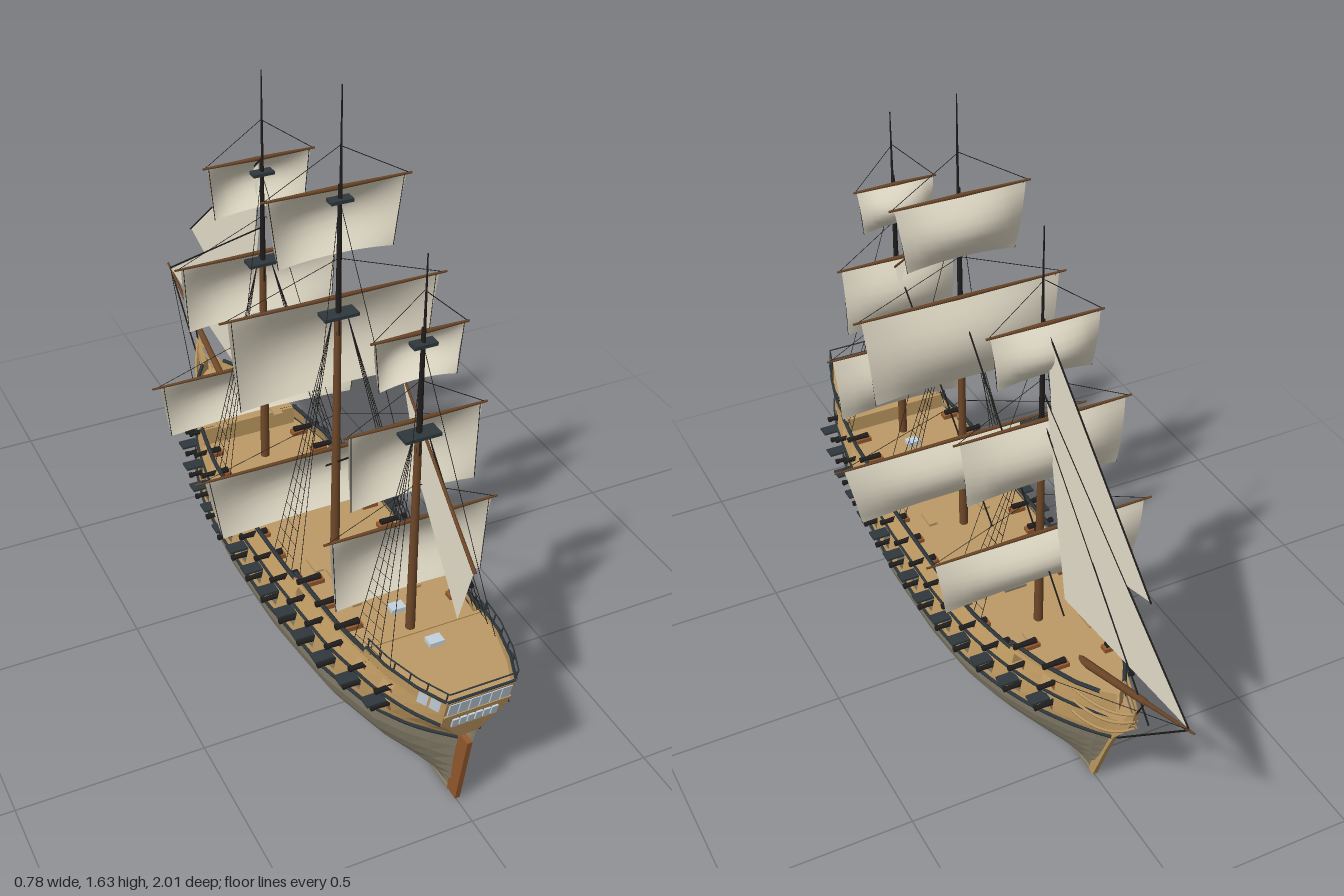
import * as THREE from 'three';
import { mergeGeometries } from 'three/addons/utils/BufferGeometryUtils.js';

const mat = (name, color, side = THREE.FrontSide) => {
  const m = new THREE.MeshStandardMaterial({ color, side });
  m.name = name;
  return m;
};
const V = (x, y, z) => new THREE.Vector3(x, y, z);
const lerp = THREE.MathUtils.lerp;

// ---- hull form -------------------------------------------------------------
const ST = [0.98, 0.9, 0.8, 0.6, 0.3, 0, -0.2, -0.35, -0.48, -0.57, -0.63, -0.66];
const WALE = [0.025, 0.1, 0.155, 0.2, 0.222, 0.222, 0.207, 0.172, 0.122, 0.072, 0.03, 0.004];
const MID = [0.088, 0.13, 0.162, 0.195, 0.206, 0.206, 0.192, 0.162, 0.118, 0.075, 0.034, 0.004];
const TOP = [0.09, 0.125, 0.152, 0.176, 0.184, 0.184, 0.173, 0.148, 0.11, 0.072, 0.034, 0.004];

function table(w, z) {
  let i = 0;
  while (i < ST.length - 2 && z < ST[i + 1]) i++;
  return lerp(w[i], w[i + 1], THREE.MathUtils.clamp((ST[i] - z) / (ST[i] - ST[i + 1]), 0, 1));
}
const waleY = z => 0.205 + (z > 0 ? 0.05 : 0.04) * z * z;
// raked stern and stem: the true z depends on height
const rake = (z, y) => lerp(0.885 + 0.27 * y, Math.max(-0.665, -0.565 - 0.4 * y), (0.98 - z) / 1.64);

// point on the topsides, d above the lower wale
function side(z, d, s = 1, out = 0) {
  const y = waleY(z) + d;
  const w = d < 0.08 ? lerp(table(WALE, z), table(MID, z), d / 0.08)
    : lerp(table(MID, z), table(TOP, z), Math.min(1, (d - 0.08) / 0.055));
  return V(s * (w + out), y, rake(z, y));
}
// point below the wale, a from 0 (keel) to 1
function bottom(z, a, s) {
  const t = a * Math.PI / 2, y = 0.008 + (waleY(z) - 0.008) * (1 - Math.cos(t));
  const p = 1 + 1.5 * Math.pow(Math.abs(z - 0.15) / 0.83, 3);
  return V(s * table(WALE, z) * Math.pow(Math.sin(t), p), y, rake(z, y));
}

// flat-shaded geometry from quads [a, b, c, d], counter-clockwise from the front
function quads(list) {
  const pos = [];
  for (const [a, b, c, d] of list) for (const v of [a, b, c, a, c, d]) pos.push(v.x, v.y, v.z);
  const g = new THREE.BufferGeometry();
  g.setAttribute('position', new THREE.Float32BufferAttribute(pos, 3));
  g.computeVertexNormals();
  return g;
}
function rod(a, b, r0, r1 = r0, n = 6) {
  const g = new THREE.CylinderGeometry(r1, r0, a.distanceTo(b), n);
  g.applyQuaternion(new THREE.Quaternion().setFromUnitVectors(V(0, 1, 0), b.clone().sub(a).normalize()));
  const m = a.clone().add(b).multiplyScalar(0.5);
  return g.translate(m.x, m.y, m.z);
}
const box = (w, h, d, x, y, z) => new THREE.BoxGeometry(w, h, d).translate(x, y, z);
// flat plate drawn in the z-y plane
function plate(pts, t) {
  const sh = new THREE.Shape(pts.map(([z, y]) => new THREE.Vector2(-z, y)));
  return new THREE.ExtrudeGeometry(sh, { depth: t, bevelEnabled: false }).translate(0, 0, -t / 2).rotateY(Math.PI / 2);
}

export function createModel() {
  const ship = new THREE.Group();
  const M = {
    hull: mat('bottom grey', 0x89826d, THREE.DoubleSide),
    tan: mat('topside tan', 0xc09b62, THREE.DoubleSide),
    deck: mat('deck planks', 0xbd9a67, THREE.DoubleSide),
    slate: mat('dark slate', 0x2f383d),
    black: mat('iron and rope', 0x201e1d),
    sail: mat('canvas', 0xe5deca, THREE.DoubleSide),
    mast: mat('mast brown', 0x6e4829),
    glass: mat('window glass', 0xc4d2de, THREE.DoubleSide),
    rust: mat('rudder brown', 0x94592f),
  };
  const add = (name, geos, material) => {
    const flat = geos.map(g => {
      const n = g.index ? g.toNonIndexed() : g;
      n.deleteAttribute('uv');
      return n;
    });
    const mesh = new THREE.Mesh(mergeGeometries(flat), material);
    mesh.name = name;
    ship.add(mesh);
  };

  // columns along the hull, with an opening at each gun port
  const ports = Array.from({ length: 14 }, (_, i) => 0.82 - 0.101 * i);
  const cols = [0.98, 0.93, 0.88];
  for (const z of ports) cols.push(z + 0.02, z - 0.02);
  cols.push(-0.55, -0.59, -0.63, -0.66);
  const isPort = k => k > 2 && k < 31 && (k - 3) % 2 === 0;
  const rows = [0, 0.02, 0.065, 0.08, 0.092, 0.125, 0.135, 0.157, 0.172];

  const lower = [], upper = [], transom = [];
  const panel = (list, f, z0, z1, a, b) => {
    list.push([f(z0, a, 1), f(z1, a, 1), f(z1, b, 1), f(z0, b, 1)]);
    list.push([f(z1, a, -1), f(z0, a, -1), f(z0, b, -1), f(z1, b, -1)]);
  };
  for (let k = 0; k < cols.length - 1; k++) {
    const z0 = cols[k], z1 = cols[k + 1], m = (z0 + z1) / 2;
    for (let j = 0; j < 8; j++) {
      panel(lower, bottom, z0, z1, j / 8, (j + 1) / 8);
      const hole = isPort(k) && (j === 1 || j === 4);
      const above = (j === 6 && m < 0.37 && m > -0.36) || (j === 7 && m < 0.72);
      if (!hole && !above) panel(upper, side, z0, z1, rows[j], rows[j + 1]);
    }
  }
  for (let j = 0; j < 8; j++) {
    const p = (s, d) => side(0.98, d, s);
    transom.push([p(-1, rows[j]), p(1, rows[j]), p(1, rows[j + 1]), p(-1, rows[j + 1])]);
  }
  add('lowerHull', [quads(lower)], M.hull);
  add('topsides', [quads(upper)], M.tan);
  add('transom', [quads(transom)], M.tan);
  add('keel', [box(0.01, 0.01, 1.44, 0, 0.005, 0.165)], M.hull);

  // wales and rails following the sheer
  const strake = (d, z0, z1, r, s) => {
    const pts = Array.from({ length: 25 }, (_, i) => side(lerp(z0, z1, i / 24), d, s, 0.001));
    return new THREE.TubeGeometry(new THREE.CatmullRomCurve3(pts), 48, r, 5);
  };
  const wales = [], rails = [];
  for (const s of [1, -1]) {
    wales.push(strake(0, 0.98, -0.66, 0.006, s), strake(0.08, 0.98, -0.66, 0.005, s));
    rails.push(strake(0.135, 0.37, -0.36, 0.006, s), strake(0.157, 0.72, 0.37, 0.006, s));
    rails.push(strake(0.157, -0.36, -0.63, 0.006, s), strake(0.172, 0.98, 0.72, 0.004, s));
    rails.push(strake(0.205, 0.98, 0.72, 0.002, s));
    for (let i = 0; i < 6; i++) {
      const z = 0.975 - 0.05 * i;
      rails.push(rod(side(z, 0.172, s), side(z, 0.205, s), 0.002));
    }
  }
  rails.push(rod(side(0.98, 0.205, 1), side(0.98, 0.205, -1), 0.002), rod(side(0.98, 0.172, 1), side(0.98, 0.172, -1), 0.004));
  add('wales', wales, M.slate);
  add('rails', rails, M.slate);

  // decks and the bulkheads at their steps
  const deck = (z0, z1, y) => {
    const q = [];
    for (let i = 0; i < 16; i++) {
      const a = lerp(z0, z1, i / 16), b = lerp(z0, z1, (i + 1) / 16);
      const p = (z, s) => side(z, y - waleY(z), s, -0.002);
      q.push([p(a, -1), p(a, 1), p(b, 1), p(b, -1)]);
    }
    return quads(q);
  };
  add('decks', [deck(0.98, -0.65, 0.29), deck(0.98, 0.37, 0.345), deck(0.98, 0.72, 0.393), deck(-0.36, -0.65, 0.345)], M.deck);
  const bulkhead = (z, y0, y1) => box(2 * table(TOP, z), y1 - y0, 0.008, 0, (y0 + y1) / 2, z);
  add('bulkheads', [bulkhead(0.37, 0.29, 0.344), bulkhead(0.72, 0.344, 0.392), bulkhead(-0.36, 0.29, 0.344)], M.tan);
  const hatch = [];
  for (const s of [1, -1]) {
    hatch.push(box(0.075, 0.012, 0.06, s * 0.075, 0.296, -0.065));
    for (const [z, y] of [[0.4, 0.345], [0.5, 0.345], [0.28, 0.29], [-0.36, 0.345]])
      hatch.push(box(0.025, 0.008, 0.06, s * 0.085, y + 0.004, z));
  }
  add('hatches', hatch, M.deck);
  add('waistGrating', [box(0.065, 0.008, 0.085, 0, 0.294, -0.065)], M.hull);
  add('skylights', [0.58, 0.775].map(z => box(0.04, 0.012, 0.03, 0, z > 0.7 ? 0.399 : 0.351, z)), M.glass);

  // guns, carriages and port lids
  const guns = [], lids = [], carriages = [];
  const gun = (p, s, inner, outer) => {
    guns.push(rod(V(p.x - s * inner, p.y, p.z), V(p.x + s * outer, p.y, p.z), 0.009, 0.006, 8));
    guns.push(rod(V(p.x + s * (outer - 0.005), p.y, p.z), V(p.x + s * (outer + 0.004), p.y, p.z), 0.008, 0.008, 8));
    carriages.push(box(0.045, 0.012, 0.024, p.x - s * (inner - 0.015), p.y - 0.011, p.z));
  };
  for (const z of ports) for (const s of [1, -1]) {
    gun(side(z, 0.033, s), s, 0.05, 0.03);
    gun(side(z, 0.1, s), s, 0.05, 0.025);
    const p = side(z, 0.067, s);
    lids.push(box(0.052, 0.006, 0.036, p.x + s * 0.026, p.y, p.z));
    carriages.push(box(0.045, 0.003, 0.03, p.x + s * 0.024, p.y - 0.004, p.z));
    // light guns on the raised decks
    if ((z > 0.38 && z < 0.7) || z < -0.37) {
      const q = side(z, 0.157, s);
      gun(V(q.x, q.y + 0.008, q.z), s, 0.045, 0.015);
    }
  }
  add('cannons', guns, M.black);
  add('portLids', lids, M.slate);
  add('gunCarriages', carriages, M.rust);

  // stern and quarter windows
  const panes = [], frames = [];
  const pane = (w, h, x, y) => new THREE.BoxGeometry(w, h, 0.006).rotateX(0.264).translate(x, y, 0.8865 + 0.27 * y);
  for (let i = 0; i < 6; i++) panes.push(pane(0.025, 0.044, (i - 2.5) * 0.028, 0.393));
  for (let i = 0; i < 6; i++) panes.push(pane(0.017, 0.03, (i - 2.5) * 0.021, 0.329));
  for (const y of [0.365, 0.421]) frames.push(pane(0.178, 0.006, 0, y));
  for (const s of [1, -1]) for (const z of [0.968, 0.936])
    panes.push(quads([[side(z, 0.125, s, 0.003), side(z - 0.026, 0.125, s, 0.003), side(z - 0.026, 0.165, s, 0.003), side(z, 0.165, s, 0.003)]]));
  add('sternWindows', panes, M.glass);
  add('sternMouldings', frames, M.tan);
  add('rudder', [plate([[0.965, 0.23], [0.915, 0.23], [0.885, 0.012], [0.925, 0.008]], 0.014)], M.rust);

  // stem, beakhead and head rails
  add('stem', [plate([[-0.55, 0.006], [-0.572, 0.006], [-0.625, 0.14], [-0.665, 0.23], [-0.71, 0.285], [-0.745, 0.35],
    [-0.757, 0.4], [-0.735, 0.37], [-0.69, 0.31], [-0.62, 0.28]], 0.014)], M.tan);
  add('beakGrating', [quads([[V(-0.065, 0.3, -0.58), V(0.065, 0.3, -0.58), V(0.004, 0.335, -0.74), V(-0.004, 0.335, -0.74)]])], M.deck);
  const head = [];
  for (const s of [1, -1]) for (const y of [0.27, 0.31, 0.35]) {
    const c = new THREE.QuadraticBezierCurve3(V(s * 0.075, y, -0.57), V(s * 0.045, y - 0.015, -0.68), V(s * 0.004, y * 0.6 + 0.175, -0.75));
    head.push(new THREE.TubeGeometry(c, 10, 0.004, 5));
  }
  add('headRails', head, M.tan);
  add('bowsprit', [rod(V(0, 0.33, -0.46), V(0, 0.46, -0.79), 0.012, 0.009, 8), rod(V(0, 0.45, -0.765), V(0, 0.545, -0.999), 0.007, 0.003)], M.mast);

  // masts: sails are [yard height, yard half, foot height, foot half]
  const masts = [
    { name: 'mizzen', z: 0.653, top: 1.405, sails: [[0.67, 0.235, 0.455, 0.2], [0.96, 0.187, 0.745, 0.165], [1.195, 0.125, 1.06, 0.1]], tops: [0.93, 1.175] },
    { name: 'main', z: 0.225, top: 1.63, sails: [[0.605, 0.39, 0.41, 0.318], [1.06, 0.312, 0.79, 0.26], [1.36, 0.2, 1.17, 0.155]], tops: [1.02, 1.335] },
    { name: 'fore', z: -0.24, top: 1.49, sails: [[0.6, 0.33, 0.43, 0.28], [0.955, 0.25, 0.755, 0.215], [1.235, 0.16, 1.08, 0.13]], tops: [0.935, 1.2] },
  ];
  const ropes = [], R = 0.001;
  const rope = (a, b, r = R) => ropes.push(rod(a, b, r, r, 4));
  for (const { name, z, top, sails, tops } of masts) {
    add(name + 'LowerMast', [rod(V(0, 0.28, z), V(0, tops[0], z), 0.013, 0.009, 10)], M.mast);
    add(name + 'Topmast', [rod(V(0, tops[0] - 0.06, z + 0.002), V(0, tops[1] + 0.04, z + 0.002), 0.008, 0.005), rod(V(0, tops[1], z + 0.006), V(0, top, z + 0.006), 0.004, 0.0015)], M.black);
    add(name + 'Tops', tops.map((y, i) => box(i ? 0.06 : 0.095, 0.009, i ? 0.03 : 0.045, 0, y, z + 0.004)), M.slate);
    const yards = [], cloth = [];
    for (const [y, w, foot, fw] of sails) {
      const zy = z - 0.012;
      for (const s of [1, -1]) {
        yards.push(rod(V(0, y, zy), V(s * w, y, zy), 0.006, 0.003));
        rope(V(s * w * 0.97, y, zy), V(0, y + 0.115, z));
        rope(V(s * fw, foot, zy), V(s * w * 0.9, y, zy));
      }
      const g = new THREE.PlaneGeometry(2, 1, 10, 8), p = g.attributes.position;
      for (let i = 0; i < p.count; i++) {
        const u = p.getX(i), v = p.getY(i) + 0.5;
        p.setXYZ(i, u * lerp(fw, w * 0.93, v), lerp(foot + 0.012 * (1 - u * u), y, v), zy - 0.048 * (1 - u * u * 0.85) * Math.sin(Math.PI * v));
      }
      g.computeVertexNormals();
      cloth.push(g);
    }
    add(name + 'Yards', yards, M.mast);
    add(name + 'Sails', cloth, M.sail);

    // shrouds with ratlines, and backstays
    for (const s of [1, -1]) {
      const foot = i => side(z + 0.015 + 0.035 * i, 0.135, s), peak = V(s * 0.02, tops[0], z + 0.01);
      for (let i = 0; i < 4; i++) rope(foot(i), peak);
      for (let k = 1; k < 16; k++) rope(foot(0).lerp(peak, k / 18), foot(3).lerp(peak, k / 18), 0.0006);
      rope(side(z + 0.165, 0.135, s), V(0, tops[1], z), 0.0009);
    }
  }

  // fore-and-aft stays
  for (const [y0, z0, y1, z1] of [[1.0, 0.2, 0.41, -0.38], [0.92, 0.64, 0.41, 0.04], [1.03, -0.25, 0.54, -0.975],
    [0.95, -0.25, 0.4, -0.81], [1.23, -0.25, 0.77, -0.785], [0.54, -0.98, 0.23, -0.67], [0.46, -0.79, 0.25, -0.68]])
    rope(V(0, y0, z0), V(0, y1, z1), 0.0025);
  for (const s of [1, -1]) rope(V(0, 0.54, -0.98), side(-0.5, 0.12, s));
  add('rigging', ropes, M.black);

  // staysails at the bow and the lateen sail aft
  const flatSail = (pts, x) => new THREE.ShapeGeometry(new THREE.Shape(pts.map(([z, y]) => new THREE.Vector2(-z, y)))).rotateY(Math.PI / 2).translate(x, 0, 0);
  add('jibs', [
    flatSail([[-0.26, 1.215], [-0.78, 0.773], [-0.34, 0.64]], 0.0006),
    flatSail([[-0.26, 1.025], [-0.97, 0.537], [-0.38, 0.468], [-0.34, 0.65]], -0.0006),
  ], M.sail);
  add('lateenSail', [flatSail([[0.906, 0.703], [0.847, 0.516], [0.64, 0.775], [0.54, 1.01]], 0.016)], M.sail);
  add('lateenYard', [rod(V(0.016, 0.7, 0.91), V(0.016, 1.02, 0.535), 0.005, 0.003)], M.mast);
  return ship;
}
